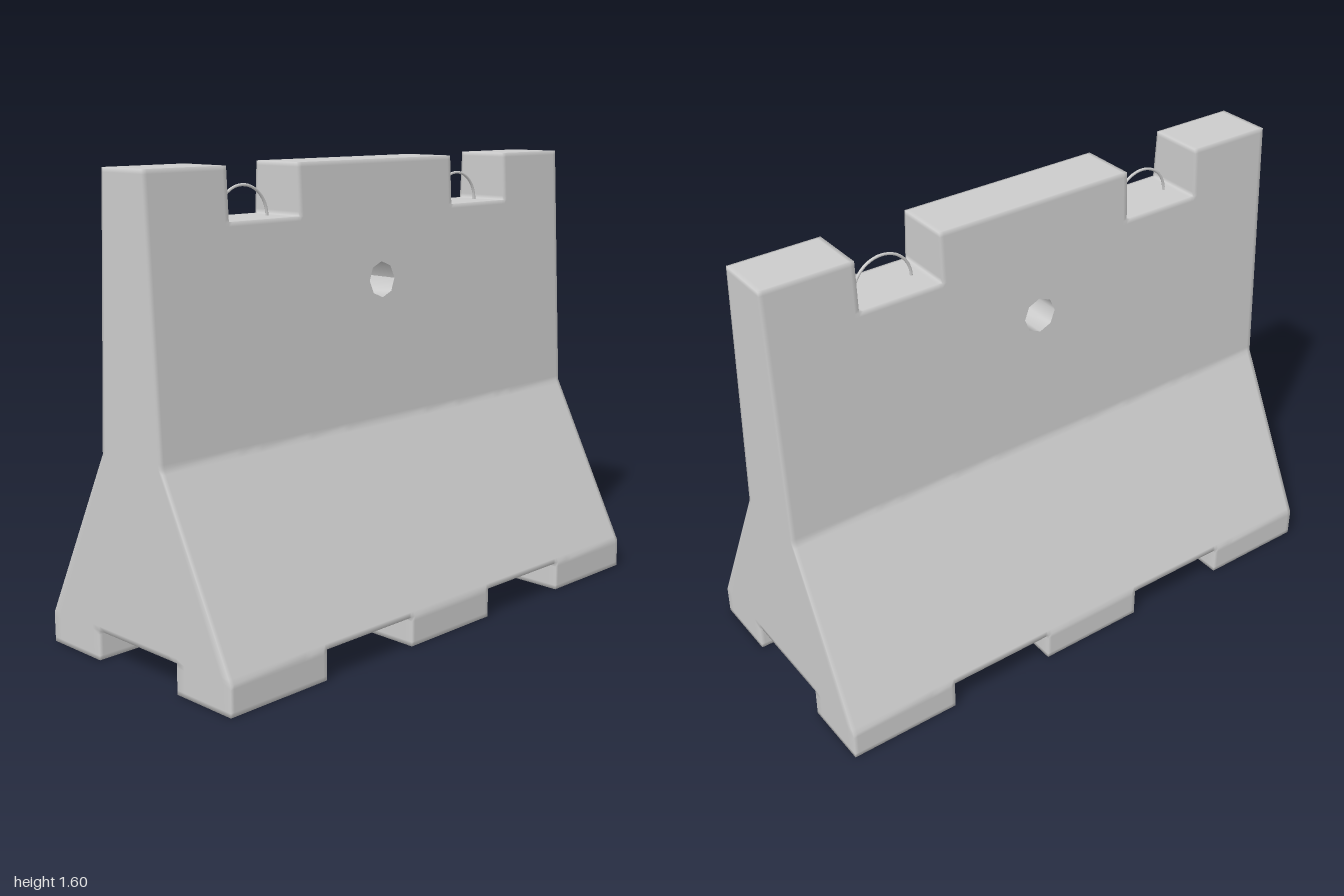
import * as THREE from 'three';
import { mergeVertices } from 'three/addons/utils/BufferGeometryUtils.js';

const EDGE = 0.015;                       // width of the softened edge shading
const HOLE = { y: 1.19, r: 0.062, cell: 0.1 };
const FOOT = 0.103, NOTCH = 1.427, TOP = 1.6;
const FOOT_U = 0.2 / 0.45;                // inner face of the feet, as a share of the half width

// Half thickness of the barrier at a height
const PROFILE = [[0, 0.45], [FOOT, 0.45], [0.703, 0.145], [TOP, 0.1]];
function halfWidth(y) {
  for (let i = 1; i < PROFILE.length; i++) {
    const [y0, w0] = PROFILE[i - 1], [y1, w1] = PROFILE[i];
    if (y <= y1) return w0 + (w1 - w0) * (y - y0) / (y1 - y0);
  }
  return PROFILE[PROFILE.length - 1][1];
}

// Grid lines: each break gets a support line on both sides, within the limits
function gridLines(breaks, inset, plain = []) {
  const min = Math.min(...breaks), max = Math.max(...breaks);
  const all = breaks.flatMap(b => [b - inset, b, b + inset]).concat(plain);
  return all.filter(v => v >= min && v <= max).sort((a, b) => a - b);
}

// Whether a point (x, height, share of half width) lies in the concrete
function solid(x, y, u) {
  const ax = Math.abs(x), au = Math.abs(u);
  if (ax > 1 || au > 1 || y < 0 || y > TOP) return false;
  if (y < FOOT) return au > FOOT_U && (ax < 0.2 || ax > 0.6);
  return !(y > NOTCH && ax > 0.375 && ax < 0.68);
}

// Skin of the barrier: the outer faces of the solid grid cells, bent to the profile
function bodyGeometry() {
  const { y: hy, r, cell } = HOLE;
  const lines = [
    gridLines([-1, -0.68, -0.6, -0.375, -0.2, 0.2, 0.375, 0.6, 0.68, 1], EDGE, [-cell, 0, cell]),
    gridLines([0, FOOT, 0.703, NOTCH, TOP], EDGE, [hy - cell, hy, hy + cell]),
    gridLines([-1, -FOOT_U, FOOT_U, 1], 0.08)
  ];
  const pos = [];
  const quad = (a, b, c, d) => {
    for (const [x, y, u] of [a, b, c, a, c, d]) pos.push(x, y, u * halfWidth(y));
  };
  const mid = (axis, i) => {
    const l = lines[axis];
    return i < 0 ? -9 : i > l.length - 2 ? 9 : (l[i] + l[i + 1]) / 2;
  };
  const filled = c => solid(...c.map((i, axis) => mid(axis, i)));

  for (let i = 0; i < lines[0].length - 1; i++)
    for (let j = 0; j < lines[1].length - 1; j++)
      for (let k = 0; k < lines[2].length - 1; k++) {
        const c = [i, j, k];
        if (!filled(c)) continue;
        const atHole = Math.abs(mid(0, i)) < cell && Math.abs(mid(1, j) - hy) < cell;
        for (let d = 0; d < 3; d++)
          for (const s of [-1, 1]) {
            const next = c.slice();
            next[d] += s;
            if (filled(next) || (d === 2 && atHole)) continue;
            const a = (d + 1) % 3, b = (d + 2) % 3;
            const corner = (da, db) => {
              const n = c.slice();
              n[d] += s > 0 ? 1 : 0;
              n[a] += da;
              n[b] += db;
              return n.map((v, axis) => lines[axis][v]);
            };
            const q = [corner(0, 0), corner(1, 0), corner(1, 1), corner(0, 1)];
            quad(...(s > 0 ? q : q.reverse()));
          }
      }

  // Square to octagon frame around the hole, front and back
  for (const u of [1, -1])
    for (let n = 0; n < 8; n++) {
      const point = (m, square) => {
        const x = Math.cos(m * Math.PI / 4), y = Math.sin(m * Math.PI / 4);
        return square ? [Math.round(x) * cell, hy + Math.round(y) * cell, u] : [x * r, hy + y * r, u];
      };
      const q = [point(n, false), point(n, true), point(n + 1, true), point(n + 1, false)];
      quad(...(u > 0 ? q : q.reverse()));
    }

  const geo = new THREE.BufferGeometry();
  geo.setAttribute('position', new THREE.Float32BufferAttribute(pos, 3));
  const merged = mergeVertices(geo, 1e-5);
  merged.computeVertexNormals();
  return merged;
}

// Inner wall of the through hole, its ends following the sloped faces
function holeGeometry() {
  const geo = new THREE.CylinderGeometry(HOLE.r, HOLE.r, 2, 8, 1, true);
  geo.rotateX(Math.PI / 2);
  geo.rotateZ(Math.PI / 2);
  geo.translate(0, HOLE.y, 0);
  const p = geo.attributes.position;
  for (let i = 0; i < p.count; i++) p.setZ(i, p.getZ(i) * halfWidth(p.getY(i)));
  geo.computeVertexNormals();
  return geo;
}

export function createModel() {
  const group = new THREE.Group();
  group.name = 'roadBarrier';
  const concrete = new THREE.MeshStandardMaterial({ color: 0xcccccc });
  const add = (name, geo, mat = concrete) => {
    const mesh = new THREE.Mesh(geo, mat);
    mesh.name = name;
    group.add(mesh);
    return mesh;
  };

  add('barrierBody', bodyGeometry());
  add('throughHole', holeGeometry(), new THREE.MeshStandardMaterial({ color: 0xcccccc, side: THREE.BackSide }));

  // Lifting loops standing in the two top notches
  const loop = new THREE.TorusGeometry(0.106, 0.005, 8, 24, Math.PI);
  for (const [name, side] of [['leftLiftingLoop', 1], ['rightLiftingLoop', -1]])
    add(name, loop).position.set(side * 0.528, NOTCH - 0.002, 0);

  return group;
}
